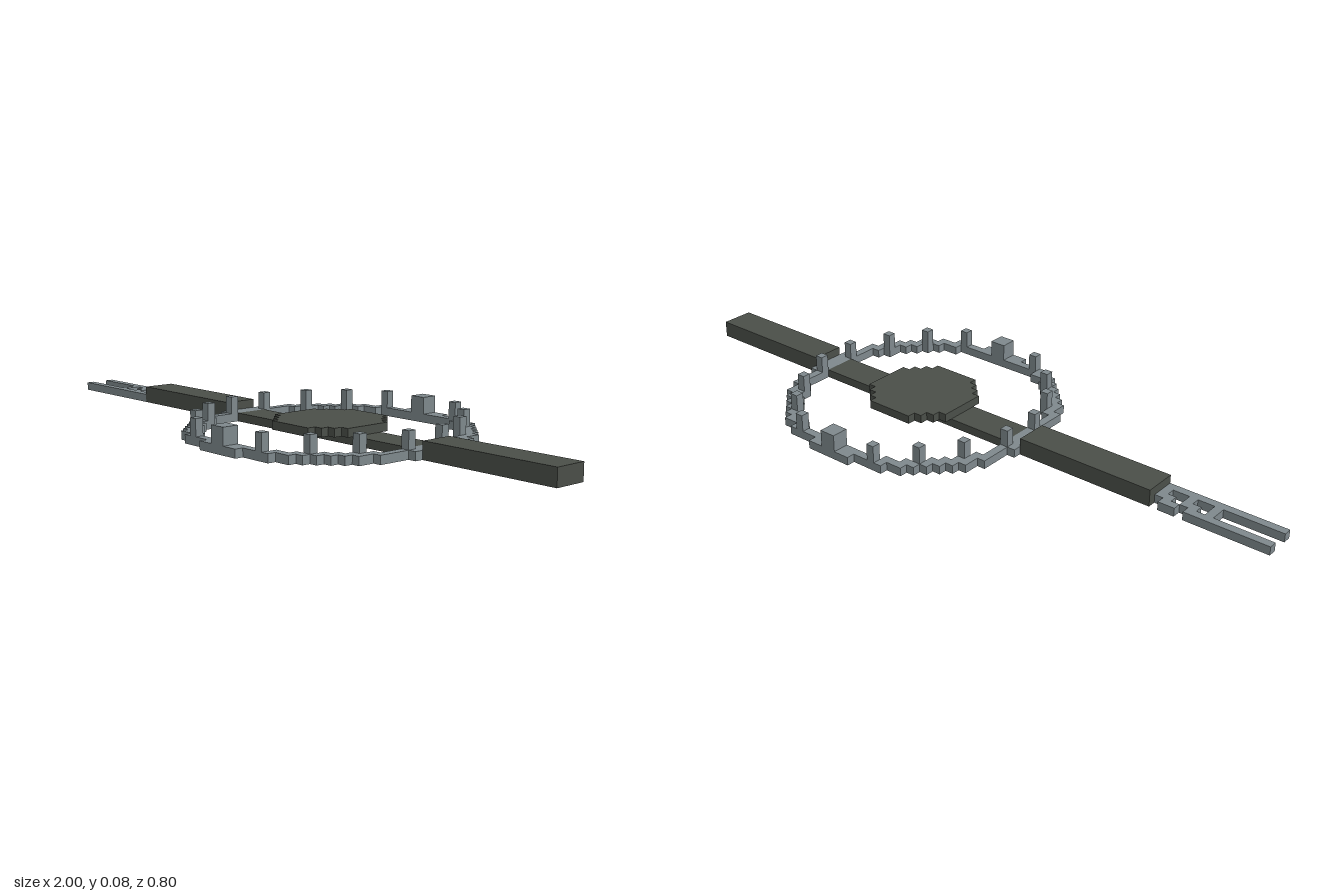
import * as THREE from 'three';
import { mergeGeometries } from 'three/addons/utils/BufferGeometryUtils.js';

const U = 0.025; // one block
const CX = 7; // ring centre along x, in blocks

// box spanning two corners, in blocks
function block(x0, x1, y0, y1, z0, z1) {
  const g = new THREE.BoxGeometry((x1 - x0) * U, (y1 - y0) * U, (z1 - z0) * U);
  return g.translate((x0 + x1) * U / 2, (y0 + y1) * U / 2, (z0 + z1) * U / 2);
}

export function createModel() {
  const group = new THREE.Group();
  const dark = new THREE.MeshStandardMaterial({ name: 'darkGrey', color: 0x4a4e48, flatShading: true });
  const steel = new THREE.MeshStandardMaterial({ name: 'steelGrey', color: 0x7e888c, flatShading: true });
  const add = (name, material, boxes) => {
    const mesh = new THREE.Mesh(mergeGeometries(boxes), material);
    mesh.name = name;
    group.add(mesh);
  };

  // long beam, lowered where it passes through the ring
  add('beamEnds', dark, [block(-26, -9, 0, 2, -2, 2), block(23, 40, 0, 2, -2, 2)]);
  add('beamMiddle', dark, [block(-7, 21, 0, 1, -2, 2)]);

  // stepped round hub on the beam: half width of each row outwards
  const hub = [block(CX - 6, CX + 6, 1, 2, -3, 3)];
  [5, 4, 3].forEach((w, i) => {
    hub.push(block(CX - w, CX + w, 1, 2, 3 + i, 4 + i));
    hub.push(block(CX - w, CX + w, 1, 2, -4 - i, -3 - i));
  });
  add('hub', dark, hub);

  // stepped ring: runs [row, start, end] of one octant, mirrored and transposed
  const ring = [];
  const runs = [[14, 0, 7], [13, 6, 9], [12, 8, 10], [11, 9, 11], [15, 0, 3]];
  const place = (list, x0, x1, y1, z0, z1) => {
    for (const sx of [-1, 1]) for (const sz of [-1, 1]) {
      const xs = [sx * x0, sx * x1].sort((a, b) => a - b);
      const zs = [sz * z0, sz * z1].sort((a, b) => a - b);
      list.push(block(CX + xs[0], CX + xs[1], 0, y1, zs[0], zs[1]));
    }
  };
  for (const [row, a, b] of runs) {
    place(ring, a, b, 1, row, row + 1);
    place(ring, row, row + 1, 1, a, b);
  }
  place(ring, 10, 11, 1, 10, 11);
  add('ring', steel, ring);

  // upright posts every twenty degrees, thicker at front and back
  const posts = [];
  for (const deg of [10, 30, 50, 70]) {
    const a = THREE.MathUtils.degToRad(deg);
    const x = Math.floor(15 * Math.cos(a)), z = Math.floor(15 * Math.sin(a) - 1e-6);
    place(posts, x, x + 1, 3, z, z + 1);
  }
  place(posts, 0, 1, 3, 14, 16);
  add('ringPosts', steel, posts);

  // flat forked tip: [row, start, end] runs
  const fork = [
    [-2, 0, 10], [-2, 11, 13],
    [-1, 7, 8], [-1, 9, 11], [-1, 12, 14],
    [0, 7, 8], [0, 10, 11], [0, 13, 14],
    [1, 0, 14],
  ].map(([z, a, b]) => block(-40 + a, -40 + b, 0, 1, z, z + 1));
  add('forkedTip', steel, fork);

  return group;
}
